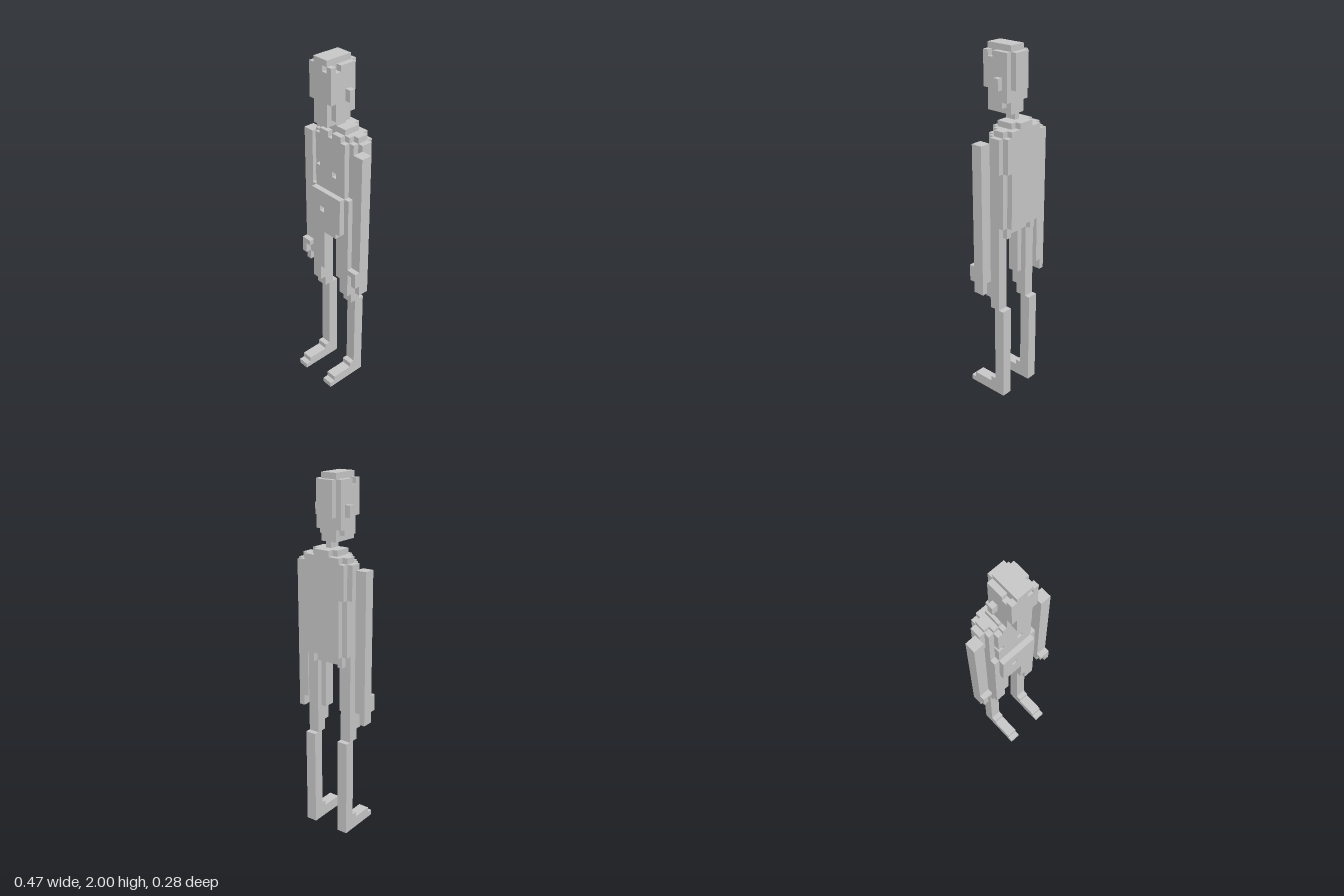
import * as THREE from 'three';

const U = 2 / 64; // one block

export function createModel() {
  const model = new THREE.Group();
  model.name = 'blockFigure';
  const grey = new THREE.MeshStandardMaterial({ color: 0xc8c8c8 });
  grey.name = 'lightGrey';

  function group(name) {
    const g = new THREE.Group();
    g.name = name;
    model.add(g);
    return g;
  }

  // Box from block limits
  function box(parent, name, x0, x1, y0, y1, z0, z1) {
    const mesh = new THREE.Mesh(new THREE.BoxGeometry((x1 - x0) * U, (y1 - y0) * U, (z1 - z0) * U), grey);
    mesh.position.set((x0 + x1) * U / 2, (y0 + y1) * U / 2, (z0 + z1) * U / 2);
    mesh.name = name;
    parent.add(mesh);
  }

  // Box on one side, x measured outward from the middle
  function sideBox(parent, name, s, a, b, ...rest) {
    box(parent, name, Math.min(s * a, s * b), Math.max(s * a, s * b), ...rest);
  }

  // Front plate from an outline, with one-block square holes at [x, y]
  function plate(parent, name, points, holes, z0, z1) {
    const shape = new THREE.Shape(points.map(([x, y]) => new THREE.Vector2(x * U, y * U)));
    for (const [x, y] of holes) {
      shape.holes.push(new THREE.Path([[0, 0], [0, 1], [1, 1], [1, 0]]
        .map(([i, j]) => new THREE.Vector2((x + i) * U, (y + j) * U))));
    }
    const geometry = new THREE.ExtrudeGeometry(shape, { depth: (z1 - z0) * U, bevelEnabled: false });
    geometry.translate(0, 0, z0 * U);
    const mesh = new THREE.Mesh(geometry, grey);
    mesh.name = name;
    parent.add(mesh);
  }

  // Head
  const head = group('head');
  box(head, 'skull', -1.5, 1.5, 53, 63, -2.5, 1.5);
  box(head, 'crown', -1.5, 1.5, 63, 64, -2.5, 2.5);
  box(head, 'backOfHead', -1.5, 1.5, 57, 63, -3.5, -2.5);
  plate(head, 'face', [[-1.5, 53], [1.5, 53], [1.5, 63], [-1.5, 63]], [[0.5, 62]], 1.5, 2.5);
  for (const s of [-1, 1]) {
    sideBox(head, 'temple', s, 1.5, 2.5, 57, 62, -2.5, 2.5);
    sideBox(head, 'browRear', s, 1.5, 2.5, 62, 63, -2.5, 0.5);
    sideBox(head, 'browFront', s, 1.5, 2.5, 62, 63, 1.5, 2.5);
    sideBox(head, 'jaw', s, 1.5, 2.5, 54, 57, -1.5, 1.5);
    sideBox(head, 'jawRear', s, 1.5, 2.5, 55, 57, -2.5, -1.5);
    sideBox(head, 'ear', s, 2.5, 3.5, 57, 59, -1.5, -0.5);
  }

  // Neck and torso
  const torso = group('torso');
  box(torso, 'neck', -0.5, 0.5, 52, 53, -2.5, -0.5);
  box(torso, 'collar', -2.5, 2.5, 51, 52, -3.5, -0.5);
  box(torso, 'collarBack', -1.5, 1.5, 51, 52, -4.5, -3.5);
  box(torso, 'torsoCore', -4.5, 4.5, 34, 51, -3.5, -1.5);
  box(torso, 'hips', -4.5, 4.5, 32, 34, -2.5, -0.5);
  box(torso, 'chestCore', -4.5, 4.5, 34, 50, -1.5, -0.5);
  box(torso, 'chestTop', -3.5, 3.5, 50, 51, -1.5, -0.5);
  plate(torso, 'chest', [[-3.5, 40], [3.5, 40], [3.5, 50], [2.5, 50], [2.5, 51], [0.5, 51], [0.5, 50],
    [-0.5, 50], [-0.5, 51], [-2.5, 51], [-2.5, 50], [-3.5, 50], [-3.5, 45], [-2.5, 45], [-2.5, 44],
    [-3.5, 44]], [[0.5, 43]], -0.5, 0.5);
  box(torso, 'bellyCore', -4.5, 4.5, 32, 40, -0.5, 0.5);
  plate(torso, 'belly', [[-2.5, 32], [2.5, 32], [2.5, 33], [3.5, 33], [3.5, 40], [-3.5, 40], [-3.5, 33],
    [-2.5, 33]], [[-1.5, 36]], 0.5, 1.5);
  plate(torso, 'backPlate', [[-3.5, 34], [3.5, 34], [3.5, 44], [4.5, 44], [4.5, 50], [3.5, 50], [3.5, 51],
    [-3.5, 51], [-3.5, 50], [-4.5, 50], [-4.5, 44], [-3.5, 44]], [], -4.5, -3.5);

  for (const s of [-1, 1]) {
    const side = s > 0 ? 'left' : 'right';
    sideBox(torso, side + 'HipBack', s, 2.5, 3.5, 32, 34, -3.5, -2.5);

    // Arms; the right one hangs one block further back
    const arm = group(side + 'Arm');
    const z = s > 0 ? 0 : -1;
    sideBox(arm, 'shoulder', s, 4.5, 5.5, 44, 50, -3.5, -1.5);
    sideBox(arm, 'armInner', s, 5.5, 6.5, 24, 49, z - 1.5, z + 0.5);
    sideBox(arm, 'armOuter', s, 6.5, 7.5, 22, 49, z - 1.5, z + 0.5);
    sideBox(arm, 'knuckles', s, 5.5, 7.5, 26, 27, z + 0.5, z + 1.5);
    sideBox(arm, 'hand', s, 6.5, 7.5, 24, 26, z + 0.5, z + 1.5);

    // Legs
    const leg = group(side + 'Leg');
    sideBox(leg, 'thigh', s, 2.5, 4.5, 20, 32, -2.5, 0.5);
    sideBox(leg, 'thighInner', s, 1.5, 2.5, 23, 32, -1.5, 0.5);
    sideBox(leg, 'knee', s, 2.5, 4.5, 18, 20, -2.5, -0.5);
    sideBox(leg, 'shin', s, 2.5, 4.5, 2, 18, -3.5, -1.5);
    sideBox(leg, 'ankle', s, 2.5, 4.5, 2, 3, -1.5, -0.5);
    sideBox(leg, 'foot', s, 2.5, 4.5, 0, 2, -3.5, 3.5);
    sideBox(leg, 'toe', s, 2.5, 4.5, 0, 1, 3.5, 4.5);
  }
  return model;
}
